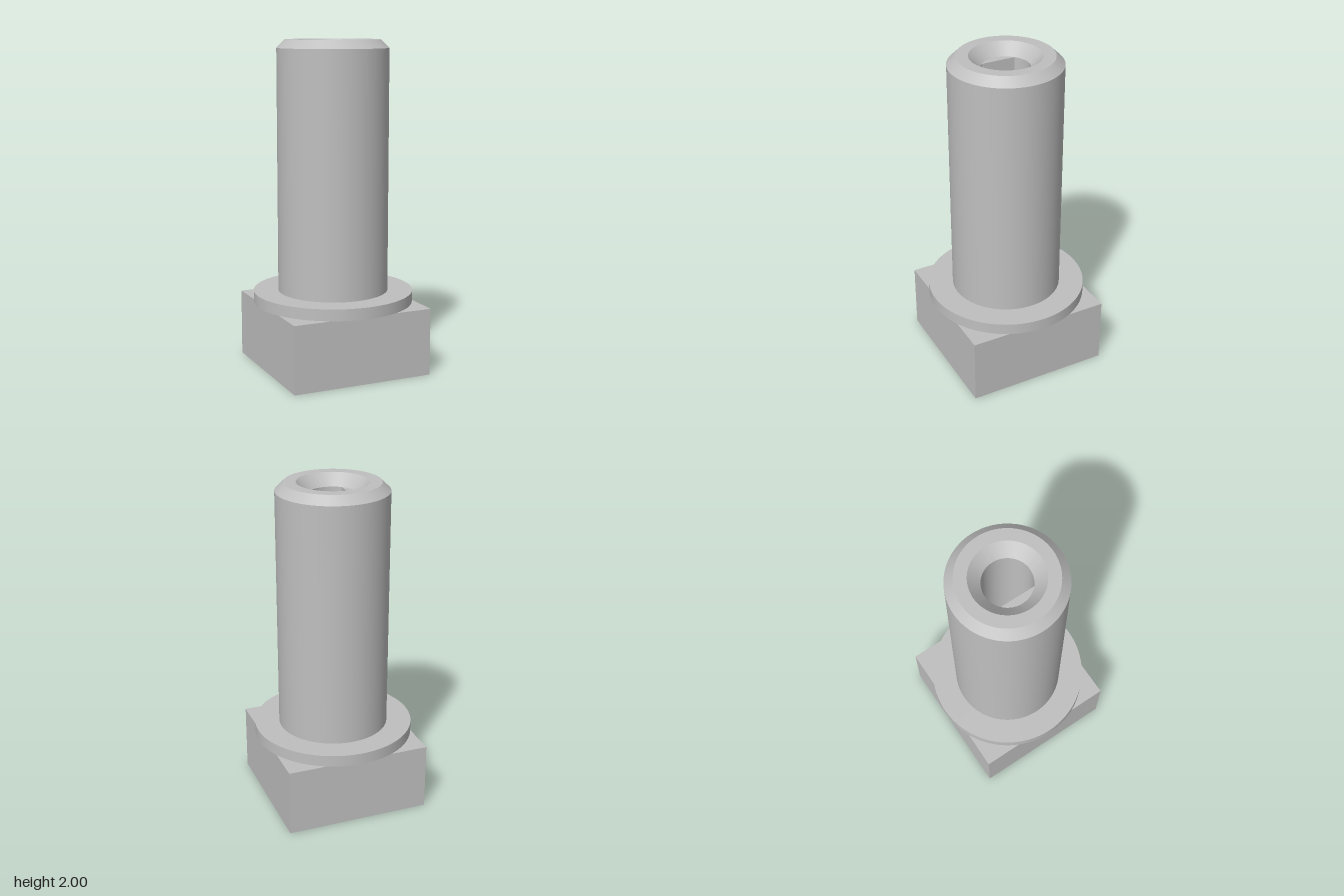
import * as THREE from 'three';
import { toCreasedNormals } from 'three/addons/utils/BufferGeometryUtils.js';

export function createModel() {
  const steel = new THREE.MeshStandardMaterial({ color: 0xbfbfbf });
  steel.name = 'grey steel';
  steel.side = THREE.DoubleSide; // the bore is made of open surfaces

  const model = new THREE.Group();
  model.name = 'squareHeadBolt';
  const add = (name, geometry, y = 0) => {
    const mesh = new THREE.Mesh(geometry, steel);
    mesh.name = name;
    mesh.position.y = y;
    model.add(mesh);
    return mesh;
  };

  const HEAD = 0.41, FLANGE = 0.48, TOP = 2, SINK = 1.93; // heights
  const BORE = 0.142, FLAT = 0.095; // bore radius, distance of its flat
  const SEGMENTS = 96;

  // Square head and round flange
  add('squareHead', new THREE.BoxGeometry(0.882, HEAD, 0.882), HEAD / 2);
  add('flange', new THREE.CylinderGeometry(0.487, 0.487, FLANGE - HEAD, SEGMENTS), (HEAD + FLANGE) / 2);

  // Shank with outer chamfer, flat rim and countersink
  const profile = [
    [0.336, FLANGE], [0.336, 1.95], [0.285, TOP], [0.212, TOP], [BORE, SINK],
  ].map(([r, y]) => new THREE.Vector2(r, y));
  add('shank', toCreasedNormals(new THREE.LatheGeometry(profile, SEGMENTS), 0.4));

  // D-shaped bore: round wall, flat wall on the -x side, floor
  const half = Math.acos(FLAT / BORE);
  const depth = SINK - FLANGE;
  const middle = (SINK + FLANGE) / 2;
  add('boreWall', new THREE.CylinderGeometry(BORE, BORE, depth, SEGMENTS, 1, true,
    -Math.PI / 2 + half, 2 * Math.PI - 2 * half), middle);
  const flat = new THREE.PlaneGeometry(2 * BORE * Math.sin(half), depth);
  flat.rotateY(Math.PI / 2).translate(-FLAT, 0, 0);
  add('boreFlat', flat, middle);
  add('boreFloor', new THREE.CircleGeometry(BORE, SEGMENTS).rotateX(-Math.PI / 2), FLANGE + 0.002);

  // Ledge between the countersink and the flat
  const segment = new THREE.Shape();
  segment.absarc(0, 0, BORE, Math.PI - half, Math.PI + half, false);
  add('boreLedge', new THREE.ShapeGeometry(segment, 24).rotateX(-Math.PI / 2), SINK);

  return model;
}
